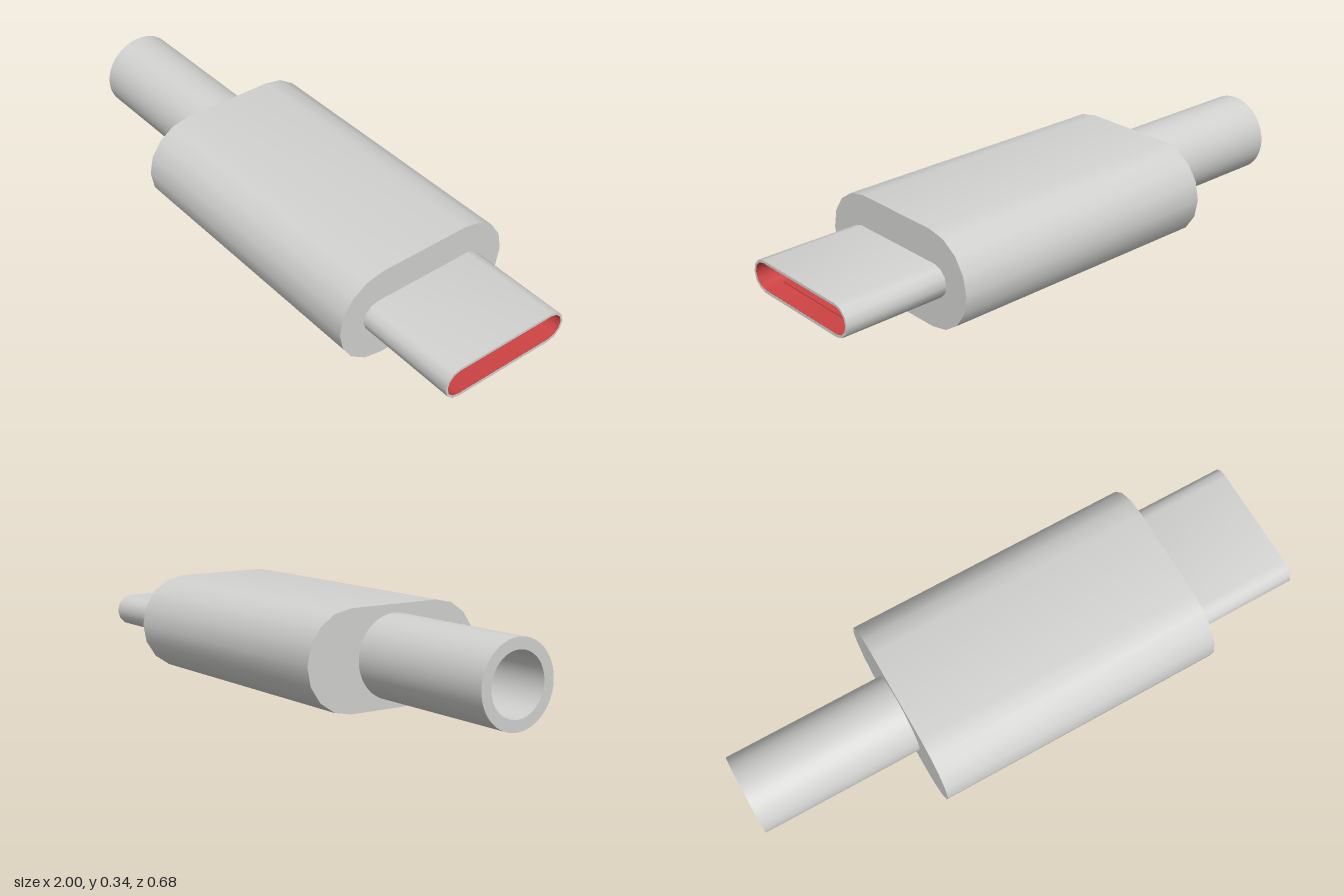
import * as THREE from 'three';
import { toCreasedNormals } from 'three/addons/utils/BufferGeometryUtils.js';

const MID = 0.17; // height of the long axis

// Stadium outline: half width w, end radius r, n segments per quarter turn
function stadium(Type, w, r, n) {
  const points = [];
  for (const [side, start] of [[1, -Math.PI / 2], [-1, Math.PI / 2]]) {
    for (let i = 0; i <= 2 * n; i++) {
      const a = start + (i * Math.PI) / (2 * n);
      points.push(new THREE.Vector2(side * (w - r) + r * Math.cos(a), r * Math.sin(a)));
    }
  }
  return new Type(points);
}

// Extrude a cross-section along x from x0 to x1
function extrudeX(name, shape, x0, x1, material) {
  const flat = new THREE.ExtrudeGeometry(shape, { depth: x1 - x0, bevelEnabled: false, curveSegments: 24 });
  flat.rotateY(Math.PI / 2);
  const mesh = new THREE.Mesh(toCreasedNormals(flat, 0.7), material);
  mesh.name = name;
  mesh.position.set(x0, MID, 0);
  return mesh;
}

export function createModel() {
  const group = new THREE.Group();
  group.name = 'cableConnector';

  const grey = new THREE.MeshStandardMaterial({ color: 0xd2d2d0 });
  grey.name = 'light grey';
  const red = new THREE.MeshStandardMaterial({ color: 0xcd4343 });
  red.name = 'red';

  // Moulded grip
  group.add(extrudeX('grip', stadium(THREE.Shape, 0.34, 0.17, 4), -0.42, 0.625, grey));

  // Hollow plug shell
  const shell = stadium(THREE.Shape, 0.245, 0.057, 3);
  shell.holes.push(stadium(THREE.Path, 0.2375, 0.0475, 3));
  group.add(extrudeX('plugShell', shell, 0.625, 1, grey));

  // Red lining and back of the socket
  const lining = stadium(THREE.Shape, 0.2375, 0.0475, 3);
  lining.holes.push(stadium(THREE.Path, 0.2365, 0.0465, 3));
  group.add(extrudeX('plugLining', lining, 0.625, 0.999, red));
  group.add(extrudeX('plugBack', stadium(THREE.Shape, 0.2365, 0.0465, 3), 0.625, 0.632, red));

  // Thin contact strips on the upper and lower inner walls
  for (const side of [1, -1]) {
    const strip = new THREE.Mesh(new THREE.BoxGeometry(0.3, 0.004, 0.39), red);
    strip.name = side > 0 ? 'upperContactStrip' : 'lowerContactStrip';
    strip.position.set(0.78, MID + side * 0.0445, 0);
    group.add(strip);
  }

  // Hollow cable sleeve
  const sleeve = new THREE.Shape().absarc(0, 0, 0.142, 0, Math.PI * 2);
  sleeve.holes.push(new THREE.Path().absarc(0, 0, 0.104, 0, Math.PI * 2));
  group.add(extrudeX('cableSleeve', sleeve, -1, -0.42, grey));

  return group;
}
